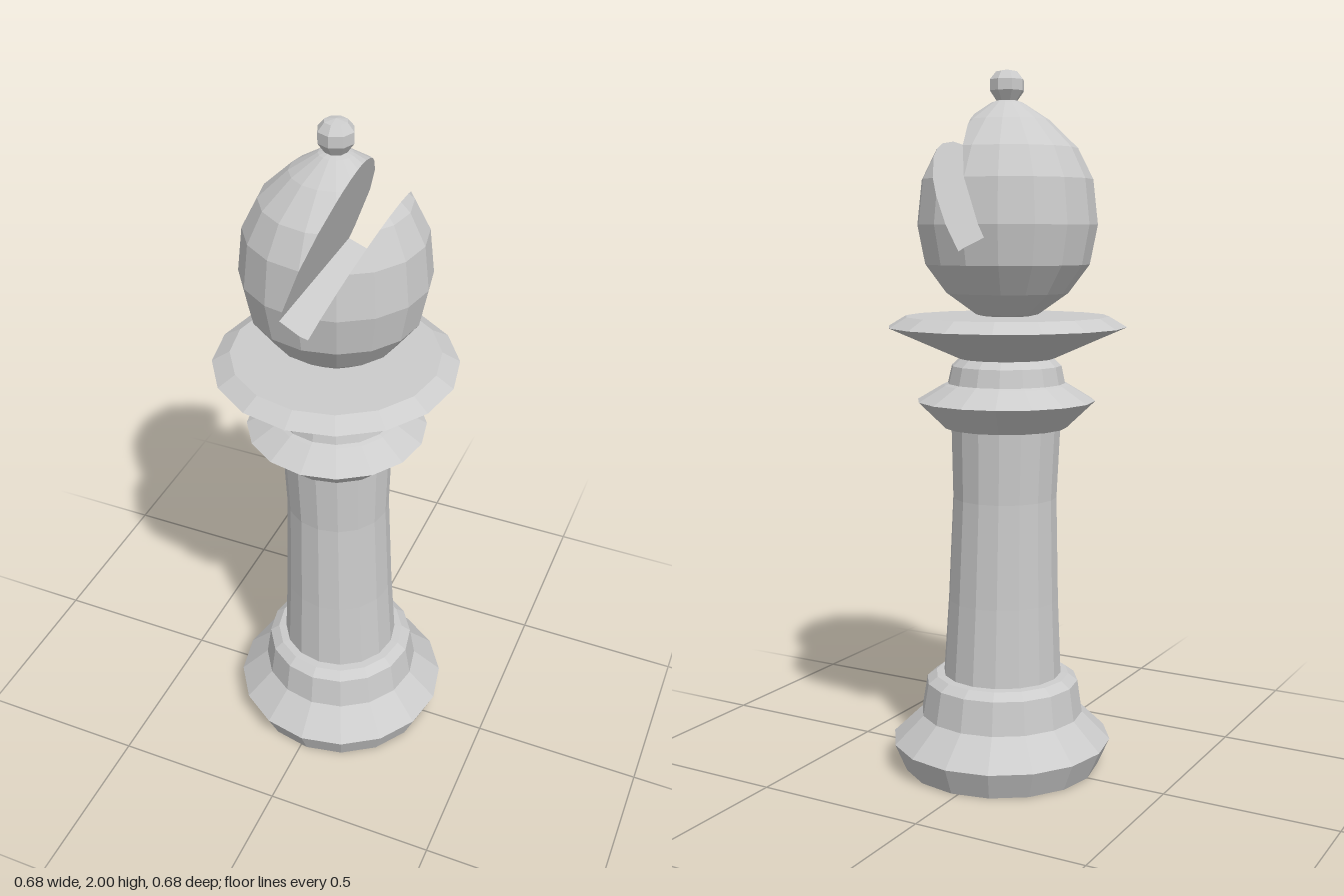
import * as THREE from 'three';

const SIDES = 16;
const material = new THREE.MeshStandardMaterial({ color: 0xcccccc, flatShading: true });

// Faceted turned part from [radius, height] pairs, bottom to top
function turned(profile, sides = SIDES) {
  return new THREE.LatheGeometry(profile.map(([r, y]) => new THREE.Vector2(r, y)), sides);
}

// The shaft leans very slightly: the foot sits a little towards +x
function lean(geometry) {
  const p = geometry.attributes.position;
  for (let i = 0; i < p.count; i++) {
    p.setX(i, p.getX(i) + 0.02 * Math.max(0, 1 - p.getY(i) / 1.25));
  }
  return geometry;
}

// Plane through a line in the XY plane, normal to the left of a -> b
function planeThrough([ax, ay], [bx, by]) {
  const normal = new THREE.Vector3(ay - by, bx - ax, 0).normalize();
  return new THREE.Plane().setFromNormalAndCoplanarPoint(normal, new THREE.Vector3(ax, ay, 0));
}

// Part of a polygon on the positive (sign 1) or negative (sign -1) side of a plane
function clip(polygon, plane, sign) {
  const out = [];
  polygon.forEach((a, i) => {
    const b = polygon[(i + 1) % polygon.length];
    const da = sign * plane.distanceToPoint(a), db = sign * plane.distanceToPoint(b);
    if (da >= 0) out.push(a);
    if (da * db < 0) out.push(a.clone().lerp(b, da / (da - db)));
  });
  return out.length > 2 ? out : [];
}

// Convex planar face from loose boundary points, facing along normal
function face(points, normal) {
  const centre = points.reduce((s, p) => s.add(p), new THREE.Vector3()).divideScalar(points.length);
  const v = new THREE.Vector3(0, 0, 1), u = v.clone().cross(normal);
  const angle = (p) => {
    const d = p.clone().sub(centre);
    return Math.atan2(d.dot(v), d.dot(u));
  };
  // (u, v) = (z x n, z), so u x v = n and increasing angle is counter-clockwise
  return [...points].sort((a, b) => angle(a) - angle(b));
}

// Egg-shaped head with a slanting slot cut through it from front to back
function slottedHead() {
  const egg = turned([[0, 1.305], [0.09, 1.325], [0.175, 1.385], [0.235, 1.465], [0.257, 1.575],
    [0.243, 1.7], [0.2, 1.785], [0.12, 1.862], [0.045, 1.91], [0, 1.925]])
    .scale(1, 1, 0.965).toNonIndexed();
  const floorA = [-0.058, 1.54], floorB = [0.021, 1.503];
  // All three normals point into the slot
  const wallA = planeThrough([0.074, 1.9], floorA).negate();
  const wallB = planeThrough(floorB, [0.169, 1.8]);
  const floor = planeThrough(floorA, floorB);
  if (wallA.normal.x < 0) wallA.negate();
  const planes = [wallA, wallB, floor];

  const vertices = [];
  const fan = (poly) => {
    for (let i = 1; i < poly.length - 1; i++) {
      [poly[0], poly[i], poly[i + 1]].forEach((q) => vertices.push(q.x, q.y, q.z));
    }
  };

  // Keep the skin outside the slot and collect the rim of the removed skin
  const rims = planes.map(() => []);
  const p = egg.attributes.position;
  for (let i = 0; i < p.count; i += 3) {
    let rest = [0, 1, 2].map((k) => new THREE.Vector3().fromBufferAttribute(p, i + k));
    for (const plane of planes) {
      fan(clip(rest, plane, -1));
      rest = clip(rest, plane, 1);
    }
    rest.forEach((q) => planes.forEach((plane, k) => {
      if (Math.abs(plane.distanceToPoint(q)) < 1e-6) rims[k].push(q);
    }));
  }
  // Close the slot with its two walls and floor
  rims.forEach((rim, k) => fan(face(rim, planes[k].normal)));

  const geometry = new THREE.BufferGeometry();
  geometry.setAttribute('position', new THREE.Float32BufferAttribute(vertices, 3));
  geometry.computeVertexNormals();
  return geometry;
}

export function createModel() {
  const group = new THREE.Group();
  const add = (name, geometry) => {
    const mesh = new THREE.Mesh(geometry, material);
    mesh.name = name;
    group.add(mesh);
  };

  add('base', lean(turned([[0, 0], [0.285, 0], [0.32, 0.08], [0.237, 0.16], [0.222, 0.255],
    [0.195, 0.275], [0.17, 0.277]])));
  add('column', lean(turned([[0.172, 0.275], [0.16, 0.5], [0.15, 0.8], [0.157, 1.005]])));
  add('collar', lean(turned([[0.15, 1.003], [0.175, 1.003], [0.255, 1.08], [0.18, 1.125],
    [0.168, 1.13], [0.157, 1.18], [0.135, 1.2]])));
  add('flange', turned([[0.135, 1.2], [0.34, 1.29], [0.29, 1.32], [0, 1.32]]));
  add('head', slottedHead());
  add('finial', turned([[0, 1.91], [0.03, 1.915], [0.049, 1.942], [0.049, 1.972],
    [0.031, 1.994], [0, 2]], 8));
  return group;
}
